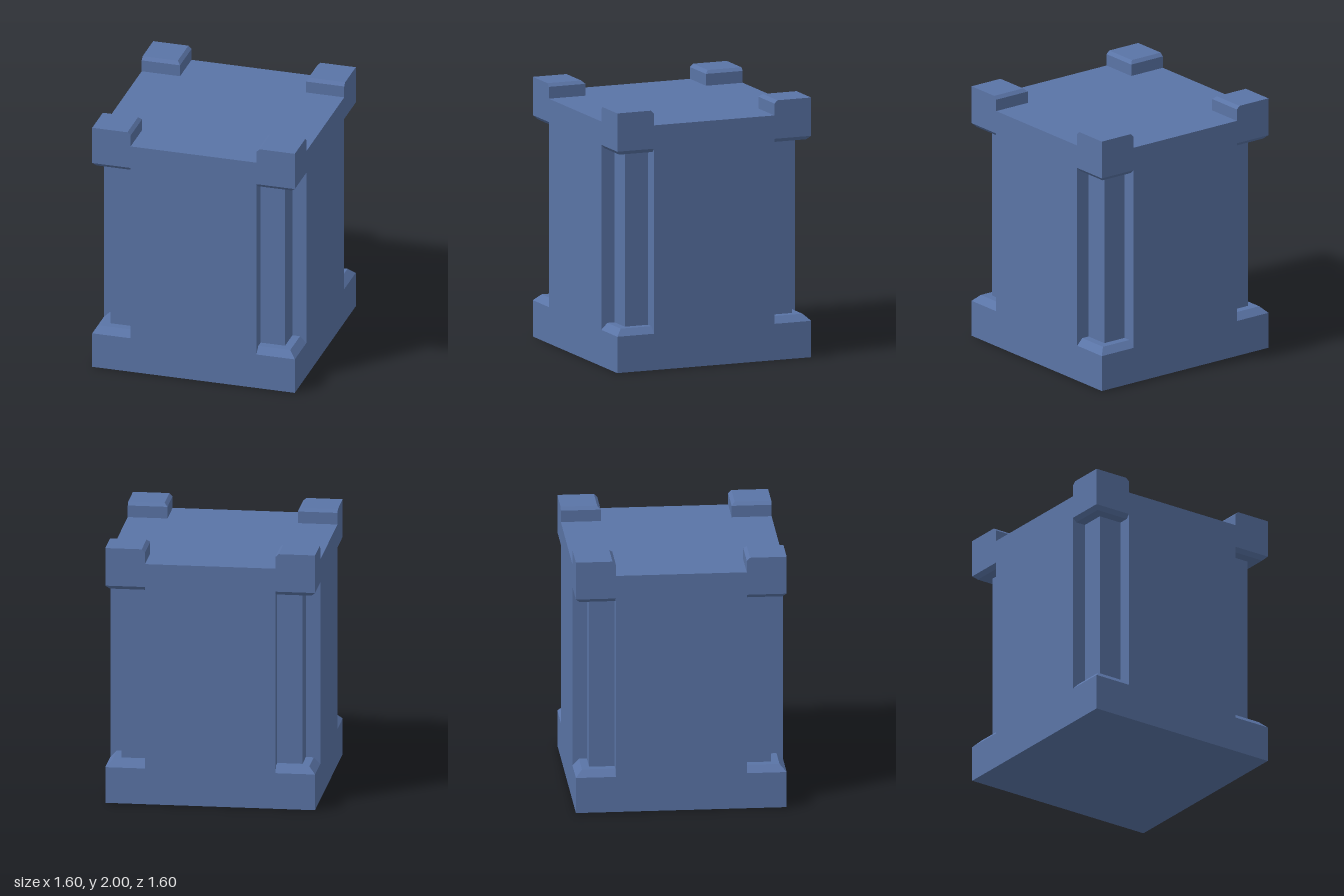
import * as THREE from 'three';

const HALF = 0.8;      // half width of the block
const PANEL = 0.497;   // half width of the raised side panels
const POST = 0.69;     // outer edge of the recessed corner posts
const LEDGE_Y = 0.28, CAP_Y = 1.705, DECK_Y = 1.885, TOP_Y = 2;

const material = new THREE.MeshStandardMaterial({ color: 0x5a74a6, flatShading: true });

// Corner block lofted through levels [y, inner, outer], placed by the signs sx and sz
function cornerBlock(levels, sx, sz) {
  const span = (s, a, b) => (s > 0 ? [a, b] : [-b, -a]);
  const rings = levels.map(([y, inner, outer]) => {
    const [x0, x1] = span(sx, inner, outer);
    const [z0, z1] = span(sz, inner, outer);
    return [[x0, y, z1], [x1, y, z1], [x1, y, z0], [x0, y, z0]];
  });
  const positions = [];
  const quad = (a, b, c, d) => positions.push(...a, ...b, ...c, ...a, ...c, ...d);
  for (let i = 0; i < rings.length - 1; i++) {
    const lo = rings[i], hi = rings[i + 1];
    for (let k = 0; k < 4; k++) {
      const n = (k + 1) % 4;
      quad(lo[k], lo[n], hi[n], hi[k]);
    }
  }
  const top = rings[rings.length - 1], bottom = rings[0];
  quad(...top);
  quad(bottom[3], bottom[2], bottom[1], bottom[0]);
  const geometry = new THREE.BufferGeometry();
  geometry.setAttribute('position', new THREE.Float32BufferAttribute(positions, 3));
  geometry.computeVertexNormals();
  return geometry;
}

export function createModel() {
  const model = new THREE.Group();
  model.name = 'pedestalBlock';
  const add = (name, geometry, y = 0) => {
    const mesh = new THREE.Mesh(geometry, material);
    mesh.name = name;
    mesh.position.y = y;
    model.add(mesh);
  };

  // Square base and top slab
  add('base', new THREE.BoxGeometry(2 * HALF, LEDGE_Y, 2 * HALF), LEDGE_Y / 2);
  add('topSlab', new THREE.BoxGeometry(2 * HALF, DECK_Y - CAP_Y, 2 * HALF), (DECK_Y + CAP_Y) / 2);

  // Shaft: four raised panels with a recessed post at each corner
  const quarter = [[HALF, -PANEL], [HALF, PANEL], [POST, PANEL], [POST, POST], [PANEL, POST]];
  const outline = [];
  for (let i = 0; i < 4; i++) {
    for (const [x, y] of quarter) {
      const p = new THREE.Vector2(x, y);
      for (let r = 0; r < i; r++) p.set(-p.y, p.x);
      outline.push(p);
    }
  }
  const shaft = new THREE.ExtrudeGeometry(new THREE.Shape(outline), {
    depth: CAP_Y - LEDGE_Y, bevelEnabled: false,
  });
  shaft.rotateX(-Math.PI / 2);
  add('shaft', shaft, LEDGE_Y);

  // Bevelled ledge, cap and top stud at every corner
  for (const sx of [1, -1]) {
    for (const sz of [1, -1]) {
      const side = (sz > 0 ? 'front' : 'back') + (sx > 0 ? 'Left' : 'Right');
      add(side + 'Ledge', cornerBlock([[LEDGE_Y, 0.45, HALF], [0.33, 0.45, 0.75]], sx, sz));
      add(side + 'Cap', cornerBlock([[1.675, 0.45, 0.77], [CAP_Y, 0.45, HALF]], sx, sz));
      add(side + 'Stud', cornerBlock(
        [[DECK_Y, PANEL, HALF], [1.976, PANEL, HALF], [TOP_Y, PANEL + 0.025, HALF]], sx, sz));
    }
  }
  return model;
}
